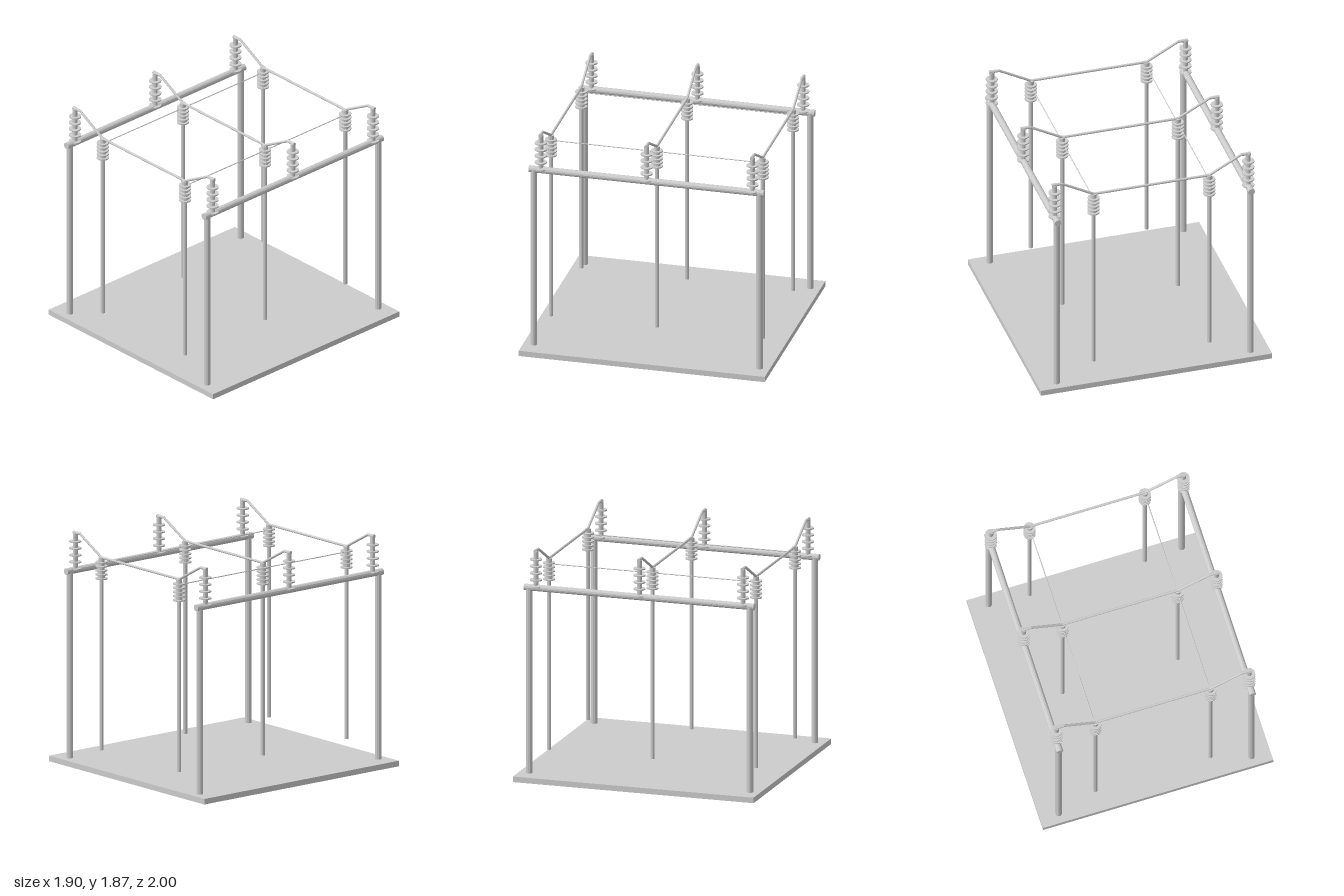
import * as THREE from 'three';

const material = new THREE.MeshStandardMaterial({ color: 0xcccccc, flatShading: true });
const UP = new THREE.Vector3(0, 1, 0);

// Round bar between two points, optionally tapered
function bar(name, from, to, r0, r1 = r0, sides = 12) {
  const a = new THREE.Vector3(...from), b = new THREE.Vector3(...to);
  const dir = b.clone().sub(a);
  const mesh = new THREE.Mesh(new THREE.CylinderGeometry(r1, r0, dir.length(), sides), material);
  mesh.name = name;
  mesh.position.copy(a).add(b).multiplyScalar(0.5);
  mesh.quaternion.setFromUnitVectors(UP, dir.normalize());
  return mesh;
}

// Core rod with a stack of evenly spaced thin discs
function insulator(name, x, z, coreBottom, coreTop, r0, r1, firstDisc, lastDisc) {
  const group = new THREE.Group();
  group.name = name;
  group.add(bar('insulatorCore', [x, coreBottom, z], [x, coreTop, z], r0, r1));
  for (let i = 0; i < 5; i++) {
    const y = firstDisc + (lastDisc - firstDisc) * i / 4;
    group.add(bar('insulatorDisc', [x, y - 0.005, z], [x, y + 0.005, z], 0.048, 0.048, 20));
  }
  return group;
}

export function createModel() {
  const model = new THREE.Group();
  model.name = 'powerLineFrame';

  // Ground slab
  const slab = new THREE.Mesh(new THREE.BoxGeometry(1.9, 0.045, 2), material);
  slab.name = 'baseSlab';
  slab.position.y = 0.0225;
  model.add(slab);

  const postX = 0.795, rodX = 0.475, cableY = 1.715;
  const rows = [-0.86, 0, 0.86];

  for (const s of [-1, 1]) {
    // Corner posts and the beam they carry
    for (const z of [-0.917, 0.917]) {
      model.add(bar('post', [s * postX, 0.04, z], [s * postX, 1.555, z], 0.027));
    }
    model.add(bar('beam', [s * postX, 1.555, -0.955], [s * postX, 1.555, 0.955], 0.027));

    // Thin wire joining the hanging insulators
    model.add(bar('tieWire', [s * rodX, 1.67, -0.86], [s * rodX, 1.67, 0.86], 0.004, 0.004, 8));

    for (const z of rows) {
      // Standing insulator on the beam, with its terminal arm
      model.add(insulator('standingInsulator', s * postX, z, 1.56, 1.855, 0.02, 0.02, 1.565, 1.787));
      model.add(bar('terminalArm', [s * (postX + 0.02), 1.857, z], [s * 0.735, 1.857, z], 0.014, 0.011));

      // Sloping jumper down to the hanging insulator
      model.add(bar('jumper', [s * 0.74, 1.859, z], [s * rodX, cableY, z], 0.01));

      // Hanging insulator and long rod below
      model.add(insulator('hangingInsulator', s * rodX, z, 1.54, cableY, 0.028, 0.024, 1.546, 1.678));
      model.add(bar('hangingRod', [s * rodX, 0.158, z], [s * rodX, 1.545, z], 0.017));
    }
  }

  // Cross cables
  for (const z of rows) {
    model.add(bar('crossCable', [-rodX, cableY, z], [rodX, cableY, z], 0.01));
  }
  return model;
}
